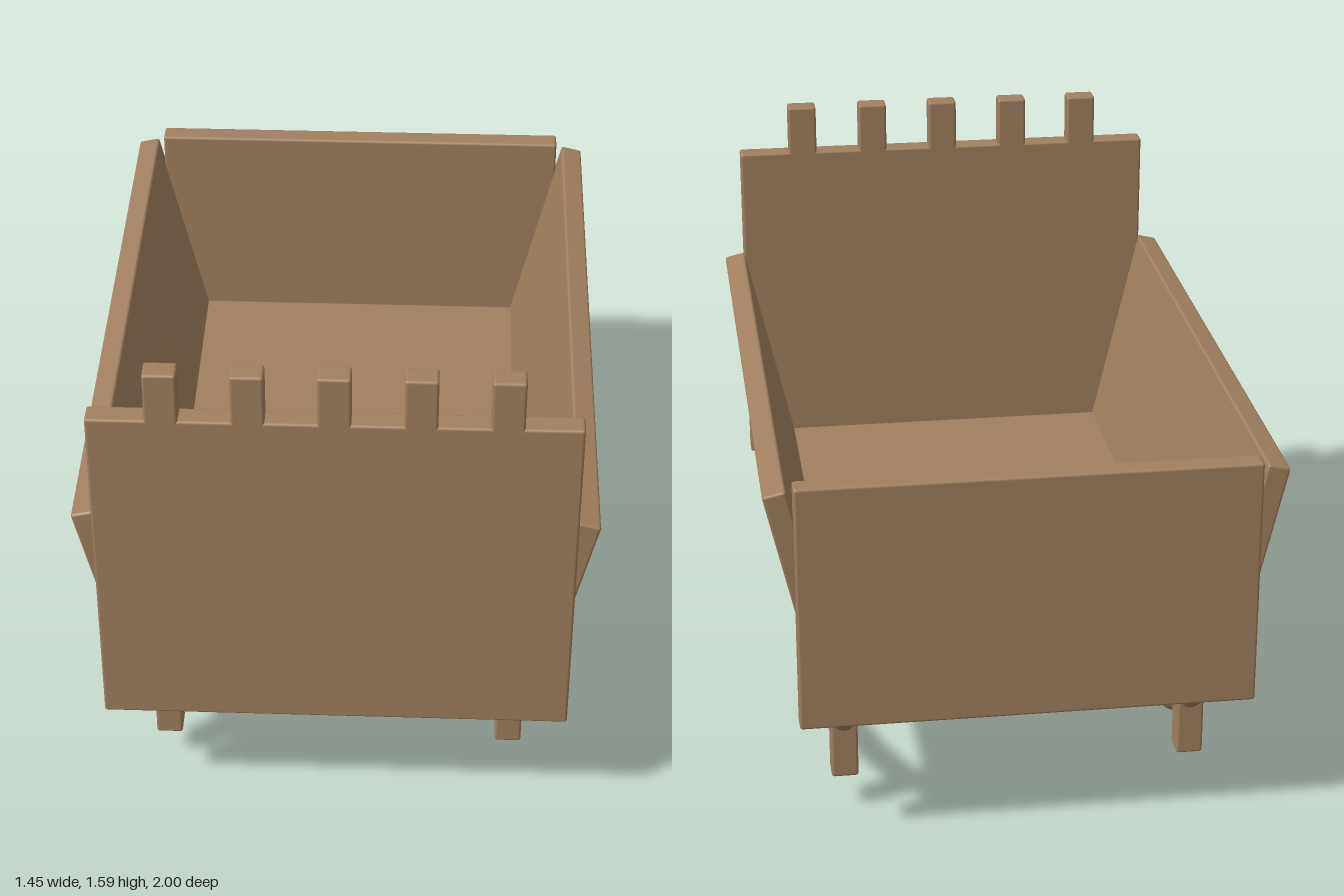
import * as THREE from 'three';
import { RoundedBoxGeometry } from 'three/addons/geometries/RoundedBoxGeometry.js';

export function createModel() {
  const cradle = new THREE.Group();
  cradle.name = 'cradle';
  const wood = new THREE.MeshStandardMaterial({ color: 0xa08060 });
  wood.name = 'brown wood';

  const add = (name, geometry, x, y, z) => {
    const mesh = new THREE.Mesh(geometry, wood);
    mesh.name = name;
    mesh.position.set(x, y, z);
    cradle.add(mesh);
    return mesh;
  };
  // Board with softly rounded edges
  const board = (name, w, h, d, x, y, z) =>
    add(name, new RoundedBoxGeometry(w, h, d, 2, 0.008), x, y, z);

  // Floor and end boards
  board('floor', 1.06, 0.065, 1.88, 0, 0.432, 0);
  board('headboard', 1.325, 1.055, 0.065, 0, 0.9125, 0.9675);
  board('footboard', 1.285, 0.73, 0.065, 0, 0.75, -0.9675);

  // Row of pegs on the headboard
  for (let i = -2; i <= 2; i++) {
    board('headboardPeg', 0.09, 0.17, 0.065, i * 0.2295, 1.505, 0.9675);
  }

  // Rocker arc: a shallow circular bow running front to back
  const radius = 1.332;
  const reach = Math.asin(0.915 / radius);
  const points = [];
  for (let i = 0; i <= 16; i++) {
    const a = reach * (i / 8 - 1);
    points.push(new THREE.Vector3(0, radius * (1 - Math.cos(a)), radius * Math.sin(a)));
  }
  const rocker = new THREE.TubeGeometry(new THREE.CatmullRomCurve3(points), 48, 0.038, 16);

  for (const side of [-1, 1]) {
    // Side boards lean outwards
    const panel = board('sideBoard', 0.066, 0.69, 1.93, side * 0.615, 0.752, 0);
    panel.rotation.z = -side * 0.227;

    add('rocker', rocker, side * 0.504, 0.041, 0);
    for (const end of [-1, 1]) {
      board('leg', 0.077, 0.31, 0.078, side * 0.504, 0.265, end * 0.76);
      // Flat cap closing the rocker tip
      const cap = add('rockerCap', new THREE.CircleGeometry(0.038, 16), side * 0.504,
        0.041 + radius * (1 - Math.cos(reach)), end * radius * Math.sin(reach));
      cap.lookAt(cap.position.clone().add(
        new THREE.Vector3(0, Math.sin(reach), end * Math.cos(reach))));
    }
  }
  return cradle;
}
